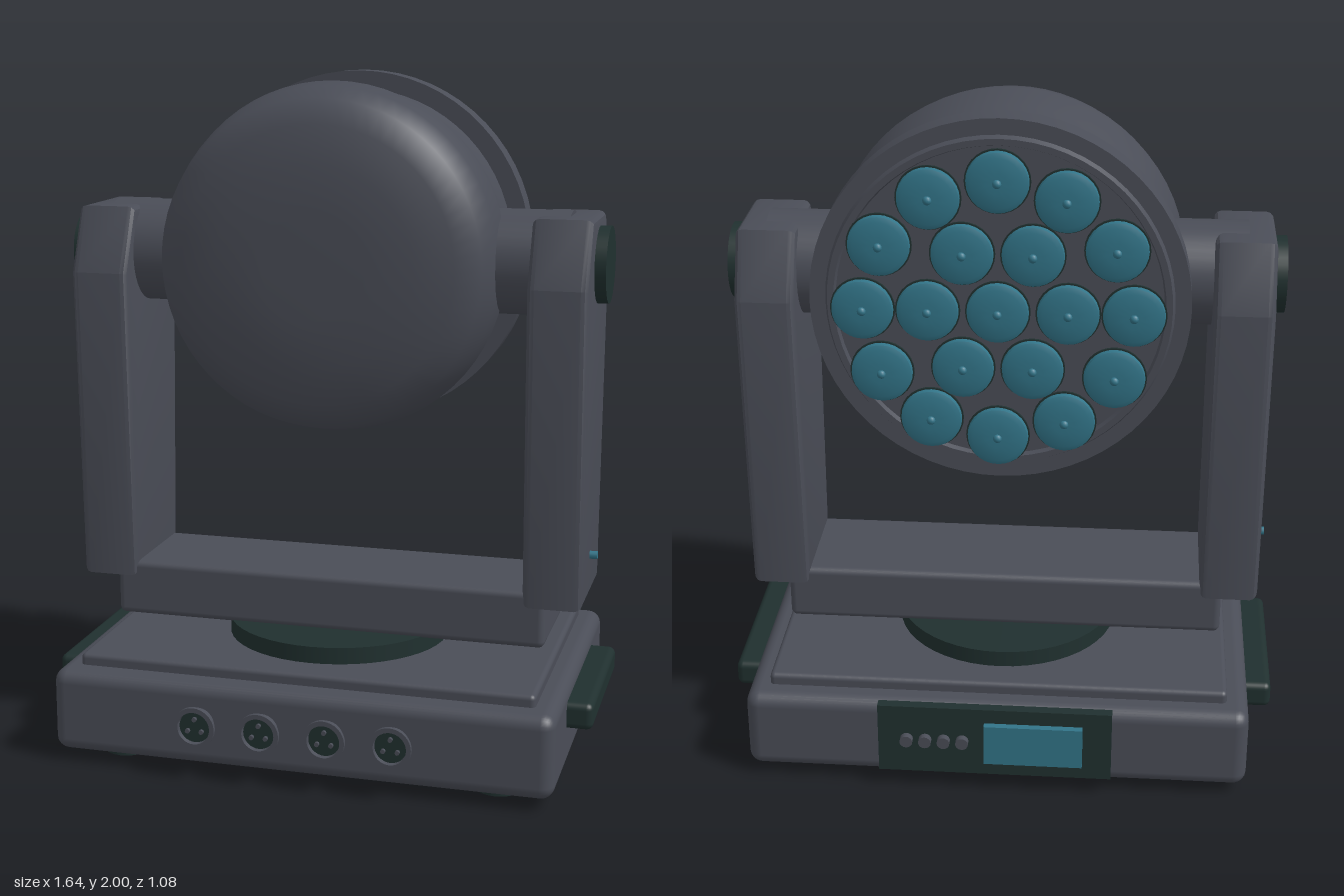
import * as THREE from 'three';
import { toCreasedNormals } from 'three/addons/utils/BufferGeometryUtils.js';
import { RoundedBoxGeometry } from 'three/addons/geometries/RoundedBoxGeometry.js';

const mat = (name, color) => {
  const m = new THREE.MeshStandardMaterial({ color });
  m.name = name;
  return m;
};

export function createModel() {
  const model = new THREE.Group();
  const grey = mat('housing grey', 0x4a4d57);
  const dark = mat('dark green rubber', 0x20302f);
  const teal = mat('teal glass', 0x327488);

  const add = (name, geo, material, x = 0, y = 0, z = 0, parent = model) => {
    const mesh = new THREE.Mesh(geo, material);
    mesh.name = name;
    mesh.position.set(x, y, z);
    parent.add(mesh);
    return mesh;
  };
  const rbox = (w, h, d, r) => new RoundedBoxGeometry(w, h, d, 3, r);
  const cylX = (r, len, n = 32) => new THREE.CylinderGeometry(r, r, len, n).rotateZ(Math.PI / 2);
  const cylZ = (r, len, n = 24) => new THREE.CylinderGeometry(r, r, len, n).rotateX(Math.PI / 2);
  // Profile of [radius, z] pairs, from back to front, turned about the z axis
  const latheZ = (pts, n = 64) =>
    new THREE.LatheGeometry(pts.map(p => new THREE.Vector2(p[0], p[1])), n).rotateX(Math.PI / 2);

  // Base
  add('base', rbox(1.49, 0.25, 1.0, 0.04), grey, 0, 0.155, 0);
  add('baseStep', rbox(1.36, 0.07, 0.86, 0.015), grey, 0, 0.28, 0);
  add('panTurntable', new THREE.CylinderGeometry(0.335, 0.335, 0.06, 48), dark, 0, 0.335, 0);
  for (const x of [-0.567, 0.567]) {
    for (const z of [-0.34, 0.35]) {
      add('foot', new THREE.CylinderGeometry(0.07, 0.07, 0.04, 24), dark, x, 0.02, z);
    }
    add('sideHandle', rbox(0.12, 0.08, 0.53, 0.02), dark, Math.sign(x) * 0.76, 0.2, 0);
  }

  // Sockets on the front of the base
  const socketRing = toCreasedNormals(latheZ([
    [0.05, -0.01], [0.05, 0.02], [0.062, 0.028], [0.062, 0.04],
    [0.048, 0.04], [0.046, 0.015]], 32), 0.5);
  for (const x of [-0.291, -0.098, 0.096, 0.289]) {
    const socket = new THREE.Group();
    socket.name = 'socket';
    socket.position.set(x, 0.16, 0.5);
    model.add(socket);
    add('socketRing', socketRing, grey, 0, 0, 0, socket);
    add('socketFace', cylZ(0.047, 0.03), dark, 0, 0, 0.01, socket);
    for (let i = 0; i < 3; i++) {
      const a = Math.PI / 2 + i * Math.PI * 2 / 3;
      add('socketPin', cylZ(0.007, 0.012, 8), grey, Math.cos(a) * 0.024, Math.sin(a) * 0.024, 0.029, socket);
    }
  }

  // Control panel on the back of the base
  add('controlPanel', new THREE.BoxGeometry(0.69, 0.225, 0.03), dark, 0, 0.168, -0.505);
  add('screen', new THREE.BoxGeometry(0.29, 0.13, 0.025), teal, -0.115, 0.17, -0.5275);
  for (let i = 0; i < 4; i++) {
    add('button', cylZ(0.019, 0.025, 16), grey, 0.095 + i * 0.055, 0.17, -0.5275);
  }

  // Yoke: cross bar and two tapered arms
  add('yokeBar', rbox(1.32, 0.17, 0.34, 0.02), grey, 0, 0.445, 0);
  const profile = new THREE.Shape([
    [-0.178, 0.485], [0.178, 0.485], [0.215, 1.42], [0.135, 1.61], [-0.135, 1.61], [-0.215, 1.42],
  ].map(p => new THREE.Vector2(p[0], p[1])));
  const armGeo = toCreasedNormals(new THREE.ExtrudeGeometry(profile, {
    depth: 0.131, bevelThickness: 0.022, bevelSize: 0.022, bevelOffset: -0.022, bevelSegments: 3,
  }).translate(0, 0, -0.0655).rotateY(Math.PI / 2), 0.5);
  for (const s of [-1, 1]) {
    add('yokeArm', armGeo, grey, s * 0.68, 0, 0);
    add('tiltHub', cylX(0.152, 0.24, 40), grey, s * 0.57, 1.47, 0);
    add('tiltCap', cylX(0.111, 0.05), dark, s * 0.775, 1.47, 0);
    add('armIndicator', cylX(0.012, 0.04, 12), teal, s * 0.77, 0.615, 0.025);
  }

  // Head, facing backwards
  const head = new THREE.Group();
  head.name = 'head';
  head.position.y = 1.47;
  model.add(head);
  add('headShell', latheZ([
    [0.478, -0.235], [0.47, -0.16], [0.492, -0.04], [0.512, 0.07], [0.5, 0.13],
    [0.472, 0.235], [0.4, 0.265], [0.29, 0.294], [0.15, 0.3], [0, 0.3]]), grey, 0, 0, 0, head);
  add('headRim', toCreasedNormals(latheZ([
    [0, -0.3], [0.455, -0.3], [0.46, -0.315], [0.478, -0.315], [0.485, -0.3],
    [0.53, -0.3], [0.53, -0.222], [0.46, -0.222]]), 0.5), grey, 0, 0, 0, head);

  // Lenses in rings of 1, 6 and 12
  const lensGeo = toCreasedNormals(latheZ([
    [0, -0.38], [0.03, -0.378], [0.07, -0.376], [0.084, -0.37], [0.086, -0.355], [0, -0.355]], 28), 0.6);
  const backGeo = cylZ(0.09, 0.007, 28);
  const tipGeo = new THREE.SphereGeometry(0.013, 12, 8);
  for (const [count, radius] of [[1, 0], [6, 0.193], [12, 0.373]]) {
    for (let i = 0; i < count; i++) {
      const a = i * Math.PI * 2 / count;
      const x = Math.cos(a) * radius, y = Math.sin(a) * radius;
      add('lens', lensGeo, teal, x, y, 0, head);
      add('lensBacking', backGeo, dark, x, y, -0.3525, head);
      add('lensTip', tipGeo, teal, x, y, -0.377, head);
    }
  }
  return model;
}
